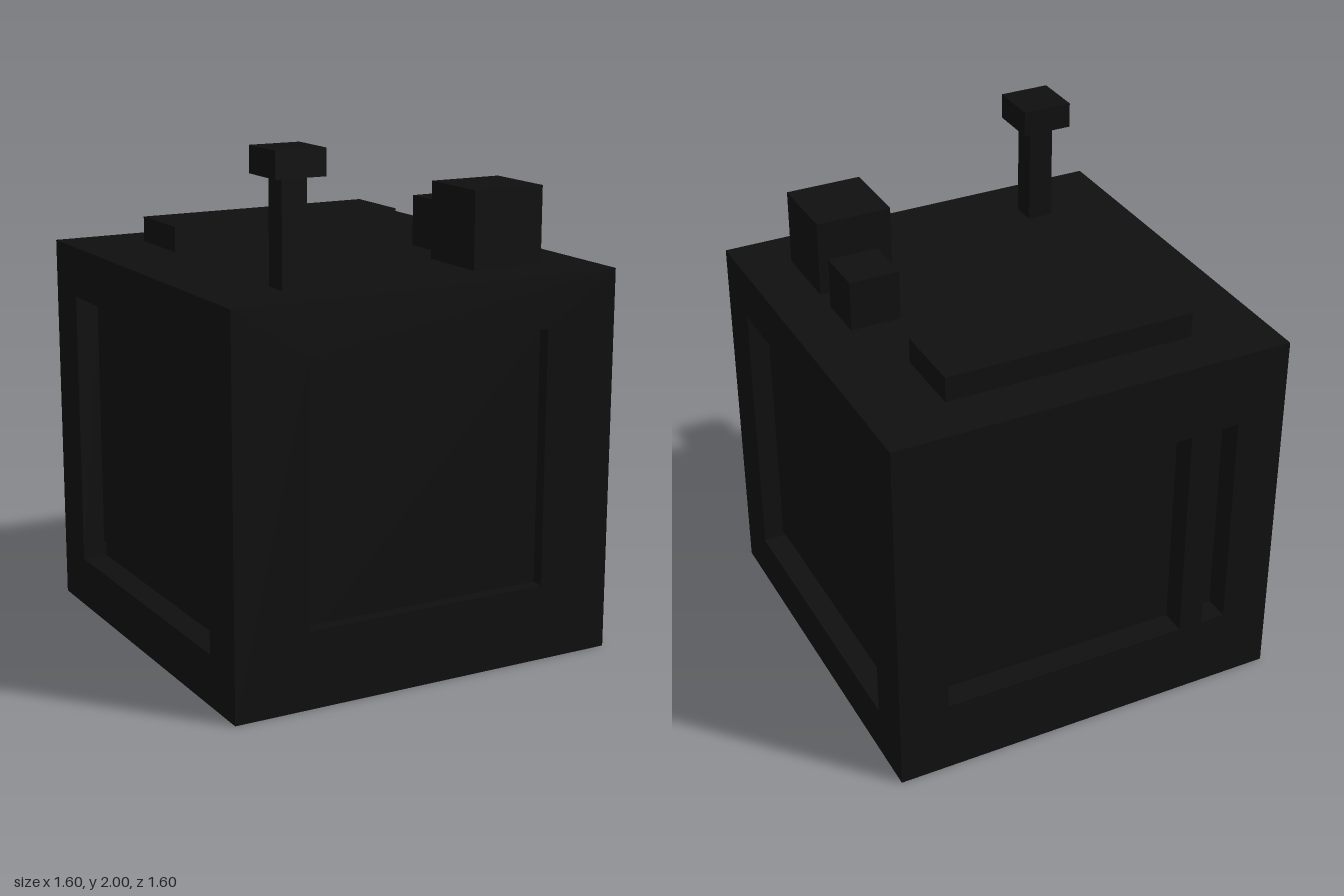
import * as THREE from 'three';

export function createModel() {
  const model = new THREE.Group();
  const black = new THREE.MeshStandardMaterial({ color: 0x0f0f0f });
  black.name = 'nearBlack';

  // Box given by its lower and upper corners
  function box(name, [x0, y0, z0], [x1, y1, z1]) {
    const geo = new THREE.BoxGeometry(x1 - x0, y1 - y0, z1 - z0);
    geo.translate((x0 + x1) / 2, (y0 + y1) / 2, (z0 + z1) / 2);
    const mesh = new THREE.Mesh(geo, black);
    mesh.name = name;
    model.add(mesh);
  }

  // Wall plate with rectangular openings, its outer face 0.8 from the centre
  function wall(name, x0, x1, depth, openings, turn) {
    const trace = (path, a, b, c, d) =>
      path.moveTo(a, b).lineTo(c, b).lineTo(c, d).lineTo(a, d).closePath();
    const shape = trace(new THREE.Shape(), x0, 0, x1, 1.5);
    for (const o of openings) shape.holes.push(trace(new THREE.Path(), ...o));
    const geo = new THREE.ExtrudeGeometry(shape, { depth, bevelEnabled: false });
    geo.translate(0, 0, 0.8 - depth).rotateY(turn);
    const mesh = new THREE.Mesh(geo, black);
    mesh.name = name;
    model.add(mesh);
  }

  // Body core, which forms the floors of the recesses
  box('bodyCore', [-0.7, 0, -0.7], [0.7, 1.5, 0.75]);

  // Four walls: front screen, back hatch with a slot, and two side recesses
  wall('frontWall', -0.8, 0.8, 0.05, [[-0.5, 0.3, 0.5, 1.3]], 0);
  wall('backWall', -0.8, 0.8, 0.1, [[-0.6, 0.3, 0.4, 1.2], [0.5, 0.3, 0.6, 1.2]], Math.PI);
  wall('leftWall', -0.75, 0.7, 0.1, [[-0.6, 0.2, 0.6, 1.3]], Math.PI / 2);
  wall('rightWall', -0.7, 0.75, 0.1, [[-0.6, 0.2, 0.6, 1.3]], -Math.PI / 2);

  // Raised panels inside the side recesses
  box('leftPanel', [0.7, 0.3, -0.5], [0.75, 1.3, 0.5]);
  box('rightPanel', [-0.75, 0.3, -0.5], [-0.7, 1.3, 0.5]);

  // Fittings on the top
  box('antennaPole', [-0.5, 1.5, 0.5], [-0.4, 1.9, 0.6]);
  box('antennaCap', [-0.55, 1.9, 0.45], [-0.35, 2, 0.65]);
  box('largeBlock', [0.3, 1.5, 0.3], [0.6, 1.8, 0.6]);
  box('smallBlock', [0.4, 1.5, 0], [0.6, 1.7, 0.2]);
  box('rearSlab', [-0.5, 1.5, -0.6], [0.5, 1.6, -0.3]);

  return model;
}
